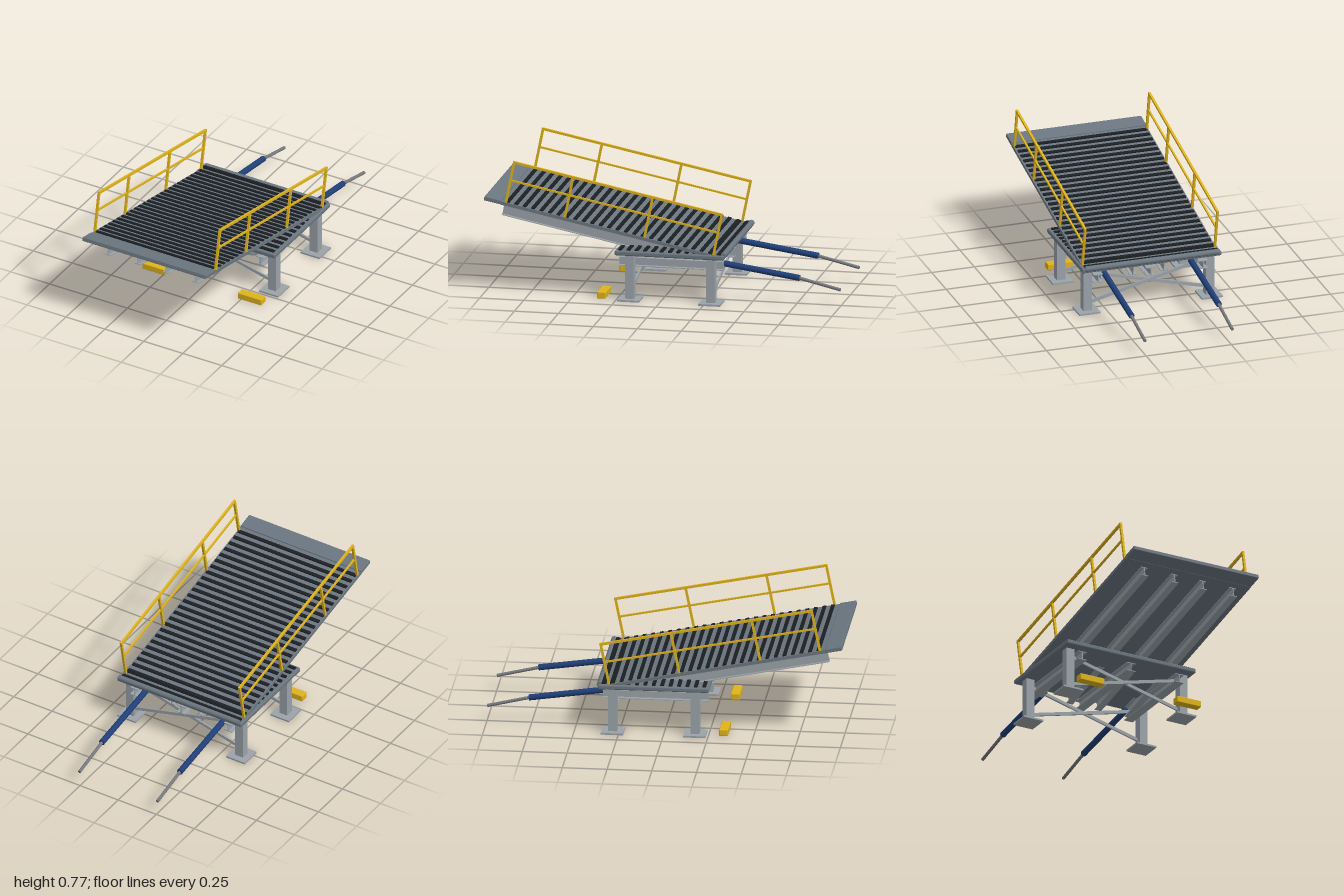
import * as THREE from 'three';
import { RoundedBoxGeometry } from 'three/addons/geometries/RoundedBoxGeometry.js';

const mat = (color) => new THREE.MeshStandardMaterial({ color });
const slate = mat(0x6b7680), steel = mat(0x9aa3a9), dark = mat(0x1c1f22);
const yellow = mat(0xdfb31c), blue = mat(0x1f3f78), rodGrey = mat(0x75797d);

function add(parent, name, geometry, material, x = 0, y = 0, z = 0) {
  const mesh = new THREE.Mesh(geometry, material);
  mesh.name = name;
  mesh.position.set(x, y, z);
  parent.add(mesh);
  return mesh;
}

const box = (parent, name, material, w, h, d, x, y, z) =>
  add(parent, name, new THREE.BoxGeometry(w, h, d), material, x, y, z);

const rounded = (parent, name, material, w, h, d, r, x, y, z) =>
  add(parent, name, new RoundedBoxGeometry(w, h, d, 2, r), material, x, y, z);

// I-section of width w and height h, running along z from z0 to z1
function iBeam(parent, name, w, h, z0, z1, x, y) {
  const t = 0.004, a = w / 2, b = h / 2, c = t / 2;
  const shape = new THREE.Shape([
    [-a, -b], [a, -b], [a, -b + t], [c, -b + t], [c, b - t], [a, b - t],
    [a, b], [-a, b], [-a, b - t], [-c, b - t], [-c, -b + t], [-a, -b + t],
  ].map(([px, py]) => new THREE.Vector2(px, py)));
  const geometry = new THREE.ExtrudeGeometry(shape, { depth: z1 - z0, bevelEnabled: false });
  return add(parent, name, geometry, steel, x, y, z0);
}

// Round bar between two points
function bar(parent, name, material, from, to, radius) {
  const dir = to.clone().sub(from);
  const mesh = add(parent, name, new THREE.CylinderGeometry(radius, radius, dir.length(), 20), material);
  mesh.position.copy(from).add(to).multiplyScalar(0.5);
  mesh.quaternion.setFromUnitVectors(new THREE.Vector3(0, 1, 0), dir.normalize());
  return mesh;
}

function makeBase() {
  const base = new THREE.Group();
  base.name = 'base';
  const mid = -0.055;
  rounded(base, 'platform', slate, 0.816, 0.027, 0.62, 0.008, 0, 0.2735, mid);
  for (let i = 0; i < 13; i++)
    box(base, 'platformCleat', dark, 0.78, 0.008, 0.02, 0, 0.29, mid - 0.282 + i * 0.047);

  for (const x of [-0.308, 0, 0.308]) iBeam(base, 'platformBeam', 0.053, 0.05, -0.345, 0.245, x, 0.21);

  for (const z of [mid - 0.23, mid + 0.23]) {
    for (const side of [-1, 1]) {
      box(base, 'leg', steel, 0.05, 0.252, 0.05, side * 0.359, 0.134, z);
      box(base, 'footPlate', steel, 0.122, 0.01, 0.125, side * 0.359, 0.005, z);
      // diagonal half of the cross bracing
      const brace = box(base, 'crossBrace', steel, 0.70, 0.018, 0.01, 0, 0.14, z + side * 0.005);
      brace.rotation.z = side * 0.25;
    }
  }
  return base;
}

// Built flat along +z from the hinge with its top at y = 0, then tilted
function makeRamp() {
  const ramp = new THREE.Group();
  ramp.name = 'ramp';
  box(ramp, 'rampDeck', slate, 0.79, 0.018, 1.285, 0, -0.009, 0.6425);
  for (let i = 0; i < 26; i++)
    box(ramp, 'rampCleat', dark, 0.772, 0.008, 0.02, 0, 0.003, 0.026 + i * 0.0488);
  rounded(ramp, 'lip', slate, 0.792, 0.024, 0.095, 0.004, 0, -0.006, 1.331);

  for (const x of [-0.281, -0.09, 0.09, 0.281])
    iBeam(ramp, 'rampBeam', 0.04, 0.057, 0.035, 1.277, x, -0.074);

  const posts = [0.052, 0.452, 0.913, 1.254], height = 0.243, t = 0.013;
  const length = posts[3] - posts[0], centre = (posts[3] + posts[0]) / 2;
  for (const side of [-1, 1]) {
    const railing = new THREE.Group();
    railing.name = side > 0 ? 'leftRailing' : 'rightRailing';
    railing.position.x = side * 0.388;
    for (const z of posts) box(railing, 'railPost', yellow, t, height, t, 0, height / 2, z);
    box(railing, 'topRail', yellow, t, t, length + t, 0, height - t / 2, centre);
    box(railing, 'midRail', yellow, 0.01, 0.01, length, 0, 0.13, centre);
    ramp.add(railing);
  }
  ramp.position.set(0, 0.278, -0.355);
  ramp.rotation.x = -0.2;
  return ramp;
}

export function createModel() {
  const model = new THREE.Group();
  model.name = 'loadingRamp';
  model.add(makeBase(), makeRamp());

  // Hinge along the rear edge
  bar(model, 'hingePin', slate, new THREE.Vector3(-0.39, 0.283, -0.357),
    new THREE.Vector3(0.39, 0.283, -0.357), 0.016);

  for (const side of [-1, 1]) {
    // Rear hydraulic ram: barrel and rod
    const x = side * 0.256;
    const joint = new THREE.Vector3(x, 0.147, -0.765);
    bar(model, 'ramBarrel', blue, new THREE.Vector3(x, 0.217, -0.28), joint, 0.017);
    bar(model, 'ramRod', rodGrey, new THREE.Vector3(x, 0.157, -0.72), new THREE.Vector3(x, 0.091, -0.998), 0.009);
    // Wheel stop on the ground ahead of the legs
    rounded(model, 'wheelStop', yellow, 0.152, 0.038, 0.05, 0.005, side * 0.307, 0.021, 0.335);
  }
  return model;
}
